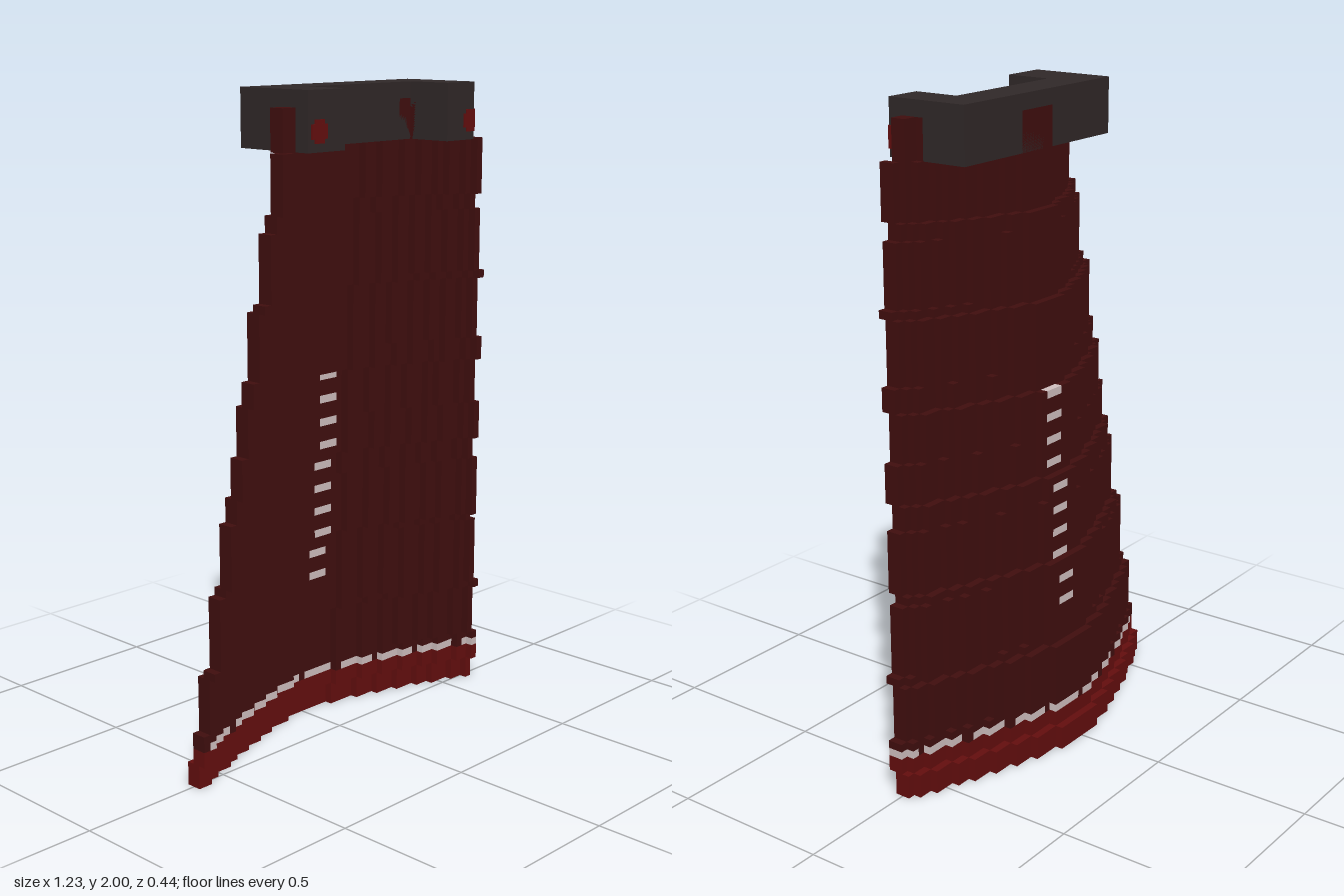
import * as THREE from 'three';
import { mergeGeometries } from 'three/addons/utils/BufferGeometryUtils.js';

const V = 2 / 83; // size of one block

// Box spanning block-grid coordinates
function block(x0, x1, y0, y1, z0, z1) {
  const g = new THREE.BoxGeometry((x1 - x0) * V, (y1 - y0) * V, (z1 - z0) * V);
  g.translate(((x0 + x1) / 2) * V, ((y0 + y1) / 2) * V, ((z0 + z1) / 2) * V);
  return g;
}

export function createModel() {
  const group = new THREE.Group();
  const mat = (name, color) => {
    const m = new THREE.MeshStandardMaterial({ color });
    m.name = name;
    return m;
  };
  const darkRed = mat('dark red cloth', 0x400e0e);
  const red = mat('red hem', 0x640e0e);
  const pale = mat('pale stitching', 0xd0c0c0);
  const charcoal = mat('charcoal collar', 0x302828);

  const add = (name, boxes, material) => {
    const mesh = new THREE.Mesh(mergeGeometries(boxes), material);
    mesh.name = name;
    group.add(mesh);
  };

  // Cape: a curved sheet two blocks thick, narrowing and leaning forward as it rises
  const steps = [4, 8, 11, 14, 17, 19, 22.3, 24];
  const rows = 81;
  const parts = { cloth: [], hem: [], stitching: [] };
  const partAt = (col, row) => {
    if (row < 5) return 'hem';
    if (row === 5 && col >= -24 && (col + 24) % 6 !== 5) return 'stitching';
    if (row >= 19 && row <= 46 && (row - 19) % 3 === 0 && col >= 0 && col <= 2) return 'stitching';
    return 'cloth';
  };

  let open = new Map(); // blocks still growing upwards
  const close = (b) => parts[b.part].push(block(b.x0, b.x1, b.y0, b.y1, b.z, b.z + 2));
  for (let row = 0; row < rows; row++) {
    const half = 25 - Math.floor((row + 2.5) / 8.67);
    const scale = (half + 0.5) / 25.5;
    const lean = Math.min(7, Math.floor((row + 8) / 11));
    // runs of equal depth and colour along this row
    const runs = [];
    for (let col = -half; col <= half; col++) {
      let level = steps.filter((s) => s * scale < Math.abs(col - 0.5)).length;
      if (row >= 76) level = Math.min(level, 7);
      const z = -9 + level + lean;
      const part = partAt(col, row);
      const last = runs[runs.length - 1];
      if (last && last.z === z && last.part === part) last.x1 = col + 0.5;
      else runs.push({ part, z, x0: col - 0.5, x1: col + 0.5 });
    }
    // extend matching runs from the row below, close the rest
    const next = new Map();
    for (const run of runs) {
      const key = [run.part, run.z, run.x0, run.x1].join();
      const b = open.get(key) || { ...run, y0: row };
      b.y1 = row + 1;
      open.delete(key);
      next.set(key, b);
    }
    open.forEach(close);
    open = next;
  }
  open.forEach(close);

  add('capeCloth', parts.cloth, darkRed);
  add('capeHem', parts.hem, red);
  add('capeStitching', parts.stitching, pale);

  // Collar: a back bar with two arms reaching forward
  add('collar', [
    block(-14.5, 14.5, 76, 83, -2, 3),
    block(-14.5, -8.5, 76, 83, 3, 9),
    block(9.5, 14.5, 76, 83, 3, 9),
  ], charcoal);

  // Clasps: thin cross-shaped plates on the arm fronts, one wrapping the corner
  const t = 0.2;
  add('rightClasp', [
    block(-14, -11.5, 77.5, 79.2, 9, 9 + t),
    block(-13.5, -12, 77, 79.7, 9, 9 + t * 0.9),
  ], red);
  add('leftClasp', [
    block(12.5, 14.5, 77.5, 79.2, 9, 9 + t),
    block(13, 14.5, 77, 79.7, 9, 9 + t * 0.9),
    block(14.5, 14.5 + t, 77, 79.7, 7, 9),
  ], red);

  return group;
}
